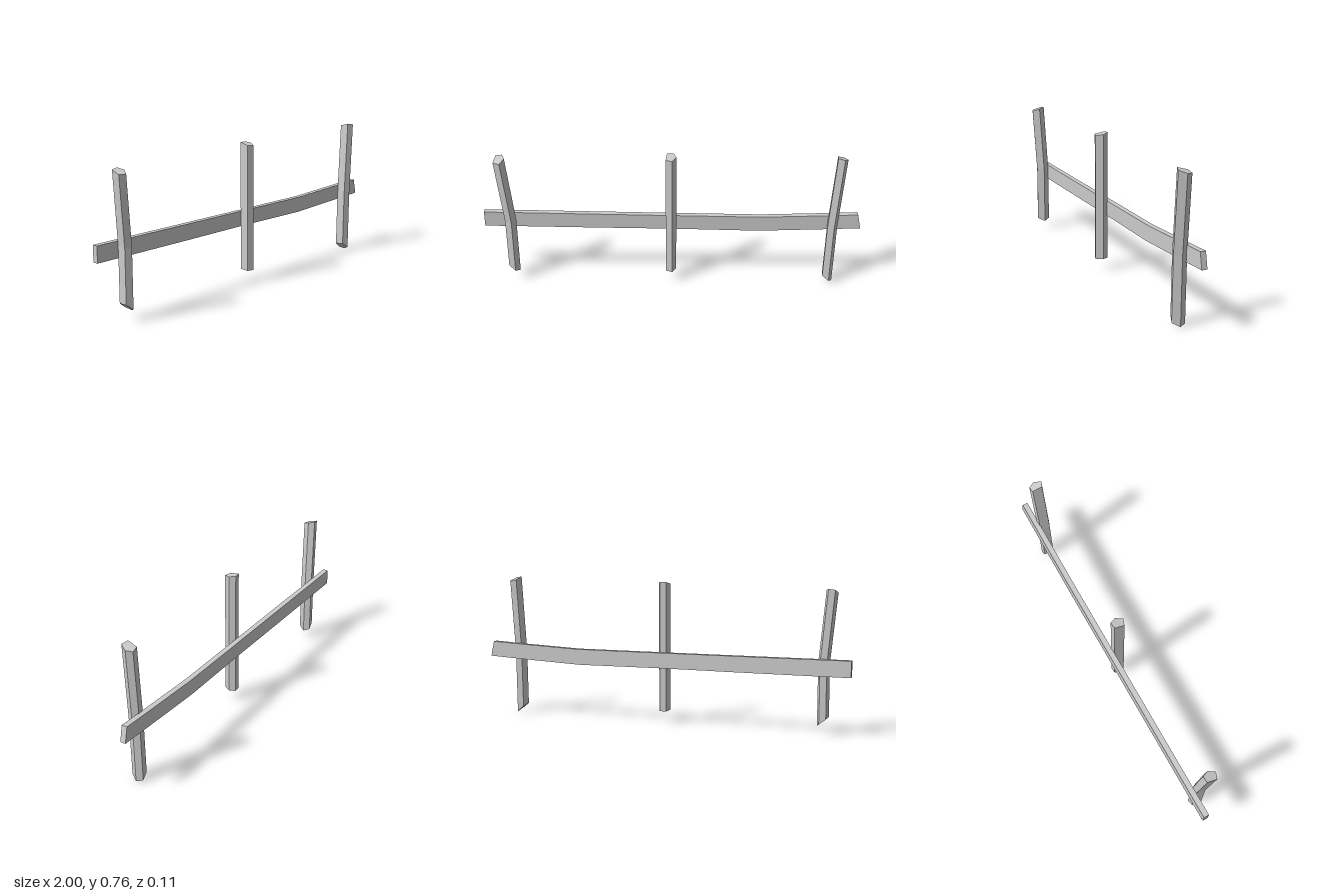
import * as THREE from 'three';

const material = new THREE.MeshStandardMaterial({ color: 0xcccccc, flatShading: true });

// Uneven five-sided timber section as [x, z]
const SECTION = [[0.002, 0.042], [0.023, 0.006], [0.008, -0.026], [-0.026, -0.023], [-0.032, 0.03]];

// Post through three rings, each { x, y, z, sx, sz }: centre, plus slope of the cut along x and z
function makePost(name, rings) {
  const shape = new THREE.Shape(SECTION.map(([x, z]) => new THREE.Vector2(x, -z)));
  const geometry = new THREE.ExtrudeGeometry(shape, {
    depth: rings.length - 1, steps: rings.length - 1, bevelEnabled: false,
  });
  geometry.rotateX(-Math.PI / 2);
  const p = geometry.attributes.position;
  for (let i = 0; i < p.count; i++) {
    const { x, y, z = 0, sx = 0, sz = 0 } = rings[Math.round(p.getY(i))];
    const px = p.getX(i), pz = p.getZ(i);
    p.setXYZ(i, x + px, y + sx * px + sz * pz, z + pz);
  }
  geometry.computeVertexNormals();
  const mesh = new THREE.Mesh(geometry, material);
  mesh.name = name;
  return mesh;
}

// Long, slightly sagging rail behind the posts
function makeRail() {
  const outline = [
    [-1, 0.312], [-0.4, 0.307], [0, 0.305], [0.46, 0.298], [0.82, 0.312], [1, 0.32],
    [0.982, 0.402], [0.8, 0.394], [0.47, 0.382], [0, 0.386], [-0.4, 0.39], [-1, 0.396],
  ];
  const shape = new THREE.Shape(outline.map(([x, y]) => new THREE.Vector2(x, y)));
  const geometry = new THREE.ExtrudeGeometry(shape, { depth: 0.029, bevelEnabled: false });
  geometry.translate(0, 0, -0.052);
  const mesh = new THREE.Mesh(geometry, material);
  mesh.name = 'rail';
  return mesh;
}

export function createModel() {
  const fence = new THREE.Group();
  fence.name = 'fence';
  fence.add(
    makeRail(),
    // Bent outer posts
    makePost('rightPost', [
      { x: -0.849, y: 0.068, sx: -0.8 },
      { x: -0.848, y: 0.37 },
      { x: -0.88, y: 0.735, z: 0.011, sx: 0.1, sz: -0.3 },
    ]),
    makePost('leftPost', [
      { x: 0.846, y: 0.021, z: -0.002, sx: -0.795, sz: 0.09 },
      { x: 0.85, y: 0.35, z: -0.002 },
      { x: 0.874, y: 0.745, z: -0.005, sx: -0.25, sz: 0.24 },
    ]),
    // Straight centre post
    makePost('centrePost', [
      { x: 0, y: 0.07 },
      { x: 0, y: 0.38 },
      { x: 0, y: 0.75, sz: -0.2 },
    ]),
  );
  return fence;
}
